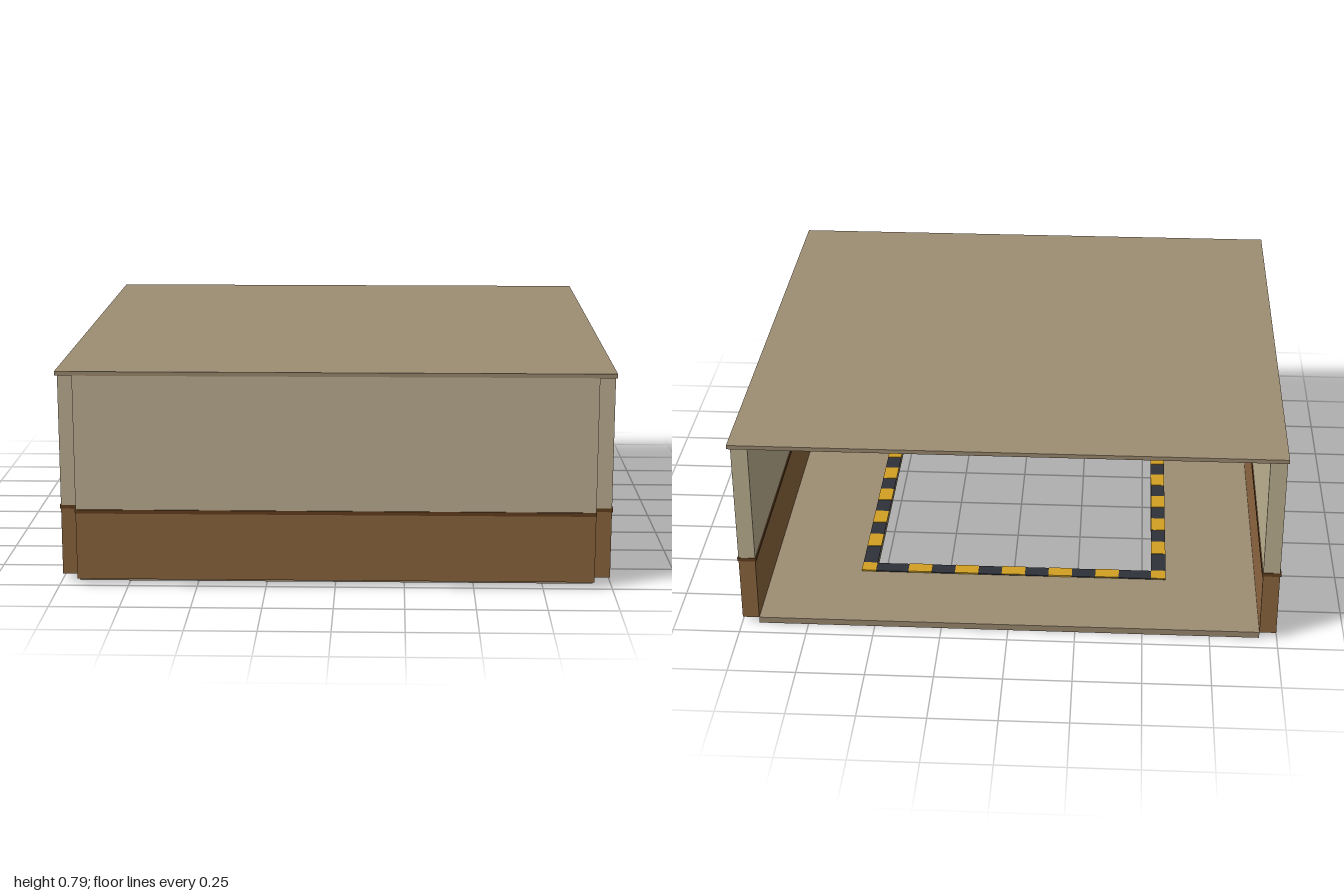
import * as THREE from 'three';

const mat = (name, color) => {
  const m = new THREE.MeshStandardMaterial({ color });
  m.name = name;
  return m;
};

// Flat square ring lying in the xz plane, its bottom at y = 0
function squareRing(outer, inner, height) {
  const square = (P, r) => new P([[-r, -r], [r, -r], [r, r], [-r, r]].map(([x, y]) => new THREE.Vector2(x, y)));
  const shape = square(THREE.Shape, outer);
  shape.holes.push(square(THREE.Path, inner));
  return new THREE.ExtrudeGeometry(shape, { depth: height, bevelEnabled: false }).rotateX(-Math.PI / 2);
}

export function createModel() {
  const model = new THREE.Group();
  model.name = 'room';

  const tan = mat('tan concrete', 0x9e8d73);
  const beige = mat('beige plaster', 0xc0b394);
  const brown = mat('brown panelling', 0x8f6840);
  const darkBrown = mat('dark brown trim', 0x64401f);
  const yellow = mat('hazard yellow', 0xd2a021);
  const dark = mat('dark metal', 0x2e3239);

  const add = (parent, name, geometry, material, x = 0, y = 0, z = 0) => {
    const mesh = new THREE.Mesh(geometry, material);
    mesh.name = name;
    mesh.position.set(x, y, z);
    parent.add(mesh);
    return mesh;
  };
  const box = (w, h, d) => new THREE.BoxGeometry(w, h, d);

  const inner = 0.935, outer = 0.997;
  const floorTop = 0.024, railY = 0.277, ceilingY = 0.775;

  // Floor with a square opening, and the roof slab
  const hole = 0.535;
  add(model, 'floor', squareRing(inner, hole, floorTop), tan);
  add(model, 'roof', box(2 * outer, 0.015, 2 * outer), tan, 0, ceilingY + 0.0075, 0);

  // Three walls; the back stays open and the corners are notched
  const thick = outer - inner, mid = (outer + inner) / 2;
  [['frontWall', 0], ['leftWall', Math.PI / 2], ['rightWall', -Math.PI / 2]].forEach(([name, turn]) => {
    const wall = new THREE.Group();
    wall.name = name;
    wall.rotation.y = turn;
    add(wall, 'lowerPanel', box(2 * inner, railY - floorTop, thick), brown, 0, (railY + floorTop) / 2, mid);
    add(wall, 'upperPanel', box(2 * inner, ceilingY - railY, thick), beige, 0, (railY + ceilingY) / 2, mid);
    add(wall, 'wallRail', box(2 * inner + 0.004, 0.014, thick + 0.008), darkBrown, 0, railY, mid);
    model.add(wall);
  });

  // Hazard border around the floor opening
  const band = 0.056, count = 13;
  const border = new THREE.Group();
  border.name = 'hazardBorder';
  border.position.y = floorTop;
  add(border, 'borderBase', squareRing(hole + band, hole, 0.004), dark);
  const tile = 2 * (hole + band) / count;
  for (let side = 0; side < 4; side++) {
    const row = new THREE.Group();
    row.name = 'stripeRow';
    row.rotation.y = side * Math.PI / 2;
    for (let i = 0; i < count; i += 2) {
      // The end tile of each row fills the corner once
      if (i === count - 1) continue;
      const w = i === 0 ? band : tile;
      const x = i === 0 ? -hole - band / 2 : -hole - band + (i + 0.5) * tile;
      add(row, 'yellowStripe', box(w, 0.006, band), yellow, x, 0.003, hole + band / 2);
    }
    border.add(row);
  }
  model.add(border);

  // Three by three grid of square ceiling lamps
  const frameGeometry = squareRing(0.1, 0.082, 0.02);
  const paneGeometry = box(0.166, 0.008, 0.166);
  for (let i = -1; i <= 1; i++) {
    for (let j = -1; j <= 1; j++) {
      const lamp = new THREE.Group();
      lamp.name = 'ceilingLamp';
      lamp.position.set(i * 0.61, ceilingY, j * 0.61);
      add(lamp, 'lampFrame', frameGeometry, dark, 0, -0.02, 0);
      add(lamp, 'lampPane', paneGeometry, beige, 0, -0.011, 0);
      model.add(lamp);
    }
  }
  return model;
}
